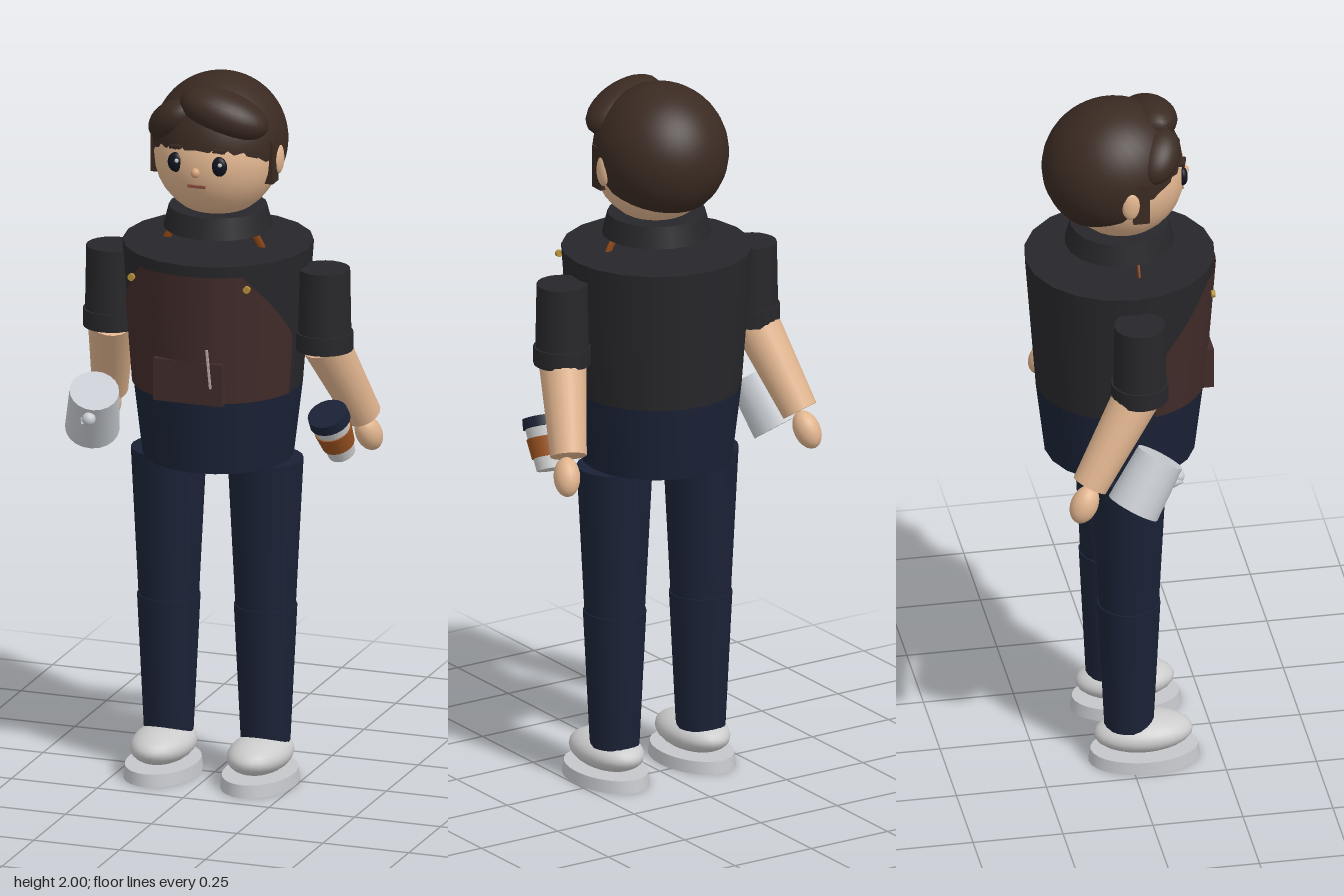
import * as THREE from 'three';

const CX = 0.01; // body axis
const mats = {};
function mat(color) {
  return (mats[color] ??= new THREE.MeshStandardMaterial({ color }));
}
const SHIRT = 0x27272b, PANTS = 0x1a2236, SKIN = 0xe0b48e, HAIR = 0x3a2a22,
  APRON = 0x402b29, WHITE = 0xf0f0f0, STEEL = 0xc8ccd2, GOLD = 0xb8923a, LEATHER = 0x8b4513;

export function createModel() {
  const model = new THREE.Group();
  model.name = 'barista';

  function add(name, geo, color, pos = [0, 0, 0], rot = [0, 0, 0], parent = model) {
    const m = new THREE.Mesh(geo, mat(color));
    m.name = name;
    m.position.set(...pos);
    m.rotation.set(...rot);
    parent.add(m);
    return m;
  }
  // Upright tapered cylinder between two heights
  function column(name, x, z, y0, y1, r0, r1, color, parent, seg = 20) {
    return add(name, new THREE.CylinderGeometry(r1, r0, y1 - y0, seg), color,
      [x, (y0 + y1) / 2, z], [0, 0, 0], parent);
  }
  function ellipsoid(name, pos, radii, color, rot, parent) {
    const geo = new THREE.SphereGeometry(1, 24, 16).scale(...radii);
    return add(name, geo, color, pos, rot, parent);
  }
  // Tapered cylinder between two points
  function limb(name, a, b, ra, rb, color) {
    const A = new THREE.Vector3(...a), B = new THREE.Vector3(...b);
    const dir = B.clone().sub(A);
    const m = add(name, new THREE.CylinderGeometry(rb, ra, dir.length(), 20), color,
      A.clone().add(B).multiplyScalar(0.5).toArray());
    m.quaternion.setFromUnitVectors(new THREE.Vector3(0, 1, 0), dir.normalize());
    return m;
  }
  function tiltedGroup(name, pos, axis) {
    const g = new THREE.Group();
    g.name = name;
    g.position.set(...pos);
    g.quaternion.setFromUnitVectors(new THREE.Vector3(0, 1, 0), new THREE.Vector3(...axis).normalize());
    model.add(g);
    return g;
  }

  // Torso, hips and collar
  column('shirt', CX, 0, 1.13, 1.53, 0.232, 0.262, SHIRT);
  column('hips', CX, 0, 0.92, 1.13, 0.207, 0.232, PANTS);
  column('collar', CX, 0, 1.57, 1.63, 0.15, 0.135, SHIRT);

  // Apron: a curved sheet that hugs the torso and narrows to the bib
  const sheet = new THREE.PlaneGeometry(2, 1, 32, 16);
  const p = sheet.attributes.position;
  for (let i = 0; i < p.count; i++) {
    const t = p.getY(i) + 0.5;
    const y = 1.13 + 0.37 * t;
    const half = t < 0.45 ? 1.32 : 1.32 - 0.72 * Math.pow((t - 0.45) / 0.55, 1.1);
    const a = p.getX(i) * half;
    const r = 0.236 + 0.075 * (y - 1.13);
    p.setXYZ(i, r * Math.sin(a), y, r * Math.cos(a));
  }
  sheet.computeVertexNormals();
  const apron = add('apron', sheet, APRON, [CX, 0, 0]);
  apron.material = new THREE.MeshStandardMaterial({ color: APRON, side: THREE.DoubleSide });
  add('apronPocket', new THREE.BoxGeometry(0.2, 0.12, 0.03), APRON, [CX, 1.19, 0.23]);
  add('pocketPen', new THREE.BoxGeometry(0.006, 0.11, 0.006), 0xb8a8a4, [0.073, 1.235, 0.247], [0, 0, 0.1]);

  // Neck strap and bib studs
  const strap = new THREE.TorusGeometry(0.15, 0.011, 8, 32, Math.PI).scale(1, 1, 0.4);
  add('neckStrap', strap, LEATHER, [CX, 1.47, 0.03]);
  for (const s of [-1, 1]) {
    add('bibStud', new THREE.CylinderGeometry(0.01, 0.01, 0.01, 12), GOLD,
      [CX + s * 0.168, 1.47, 0.23], [Math.PI / 2, 0, 0]);
  }

  // Head and face
  ellipsoid('head', [CX, 1.785, 0.005], [0.175, 0.178, 0.175], SKIN);
  for (const s of [-1, 1]) {
    ellipsoid('ear', [CX + s * 0.176, 1.78, 0], [0.014, 0.043, 0.025], SKIN);
    add('sideburn', new THREE.BoxGeometry(0.03, 0.12, 0.045), HAIR, [CX + s * 0.163, 1.78, 0.03]);
    ellipsoid('eye', [CX + s * 0.063, 1.792, 0.164], [0.023, 0.028, 0.014], 0x10141f);
    ellipsoid('eyeGlint', [CX + s * 0.063 + 0.007, 1.8, 0.177], [0.006, 0.006, 0.004], WHITE);
    add('eyebrow', new THREE.BoxGeometry(0.035, 0.009, 0.012), HAIR,
      [CX + s * 0.063, 1.836, 0.166], [0, s * 0.3, s * -0.1]);
  }
  ellipsoid('nose', [CX, 1.772, 0.181], [0.013, 0.014, 0.012], 0xd9a47c);
  add('mouth', new THREE.BoxGeometry(0.05, 0.008, 0.01), 0x8c4a40, [CX, 1.73, 0.169]);

  // Hair: tilted cap plus two fringe locks
  const cap = add('hairCap', new THREE.SphereGeometry(1, 32, 24, 0, Math.PI * 2, 0, 2.07)
    .scale(0.184, 0.187, 0.194), HAIR, [CX, 1.813, -0.02], [-0.34, 0, 0]);
  cap.material = new THREE.MeshStandardMaterial({ color: HAIR, side: THREE.DoubleSide });
  ellipsoid('fringeLeft', [0.06, 1.92, 0.088], [0.128, 0.062, 0.075], HAIR, [0, 0.15, -0.32]);
  ellipsoid('fringeRight', [-0.09, 1.885, 0.088], [0.085, 0.052, 0.06], HAIR, [0, -0.5, 0.65]);

  // Arms
  const wrists = { '-1': [-0.36, 1.02, -0.15], '1': [0.385, 1.03, -0.13] };
  const hands = { '-1': [-0.372, 0.968, -0.167], '1': [0.397, 0.975, -0.14] };
  for (const s of [-1, 1]) {
    const x = CX + s * 0.31;
    column('sleeve', x, 0, 1.26, 1.48, 0.074, 0.07, SHIRT);
    column('sleeveCuff', x, 0, 1.25, 1.3, 0.079, 0.079, SHIRT);
    limb('forearm', [x, 1.27, 0], wrists[s], 0.066, 0.05, SKIN);
    ellipsoid('hand', hands[s], [0.036, 0.055, 0.038], SKIN, [0.45, 0, s * 0.22]);
  }

  // Milk jug by the right hand
  const jug = tiltedGroup('milkJug', [-0.35, 1.005, 0.01], [0.22, 0.8, 0.5]);
  column('jugBody', 0, 0, -0.08, 0.08, 0.075, 0.068, STEEL, jug);
  add('jugSpout', new THREE.ConeGeometry(0.022, 0.05, 12), STEEL, [0, 0.035, 0.075], [1.1, 0, 0], jug);
  ellipsoid('jugKnob', [-0.33, 1.005, 0.1], [0.019, 0.019, 0.019], STEEL);

  // Takeaway cup by the left hand
  const cup = tiltedGroup('takeawayCup', [0.357, 1.018, 0.022], [-0.12, 0.87, 0.45]);
  column('cupBody', 0, 0, -0.075, 0.05, 0.038, 0.053, WHITE, cup);
  column('cupBand', 0, 0, -0.04, 0.015, 0.046, 0.053, 0x9a5220, cup);
  column('cupLid', 0, 0, 0.043, 0.072, 0.058, 0.056, PANTS, cup);

  // Legs and shoes
  for (const s of [-1, 1]) {
    const x = CX + s * 0.141 - 0.003;
    column('thigh', x, 0, 0.5, 0.92, 0.083, 0.104, PANTS);
    column('shin', x, 0, 0.11, 0.5, 0.068, 0.087, PANTS);
    ellipsoid('shoe', [x, 0.083, 0.04], [0.085, 0.052, 0.137], WHITE);
    const sole = column('sole', x, 0.043, 0, 0.035, 1, 0.96, 0xc4c6ca, model, 28);
    sole.scale.set(0.102, 1, 0.155);
  }

  return model;
}
